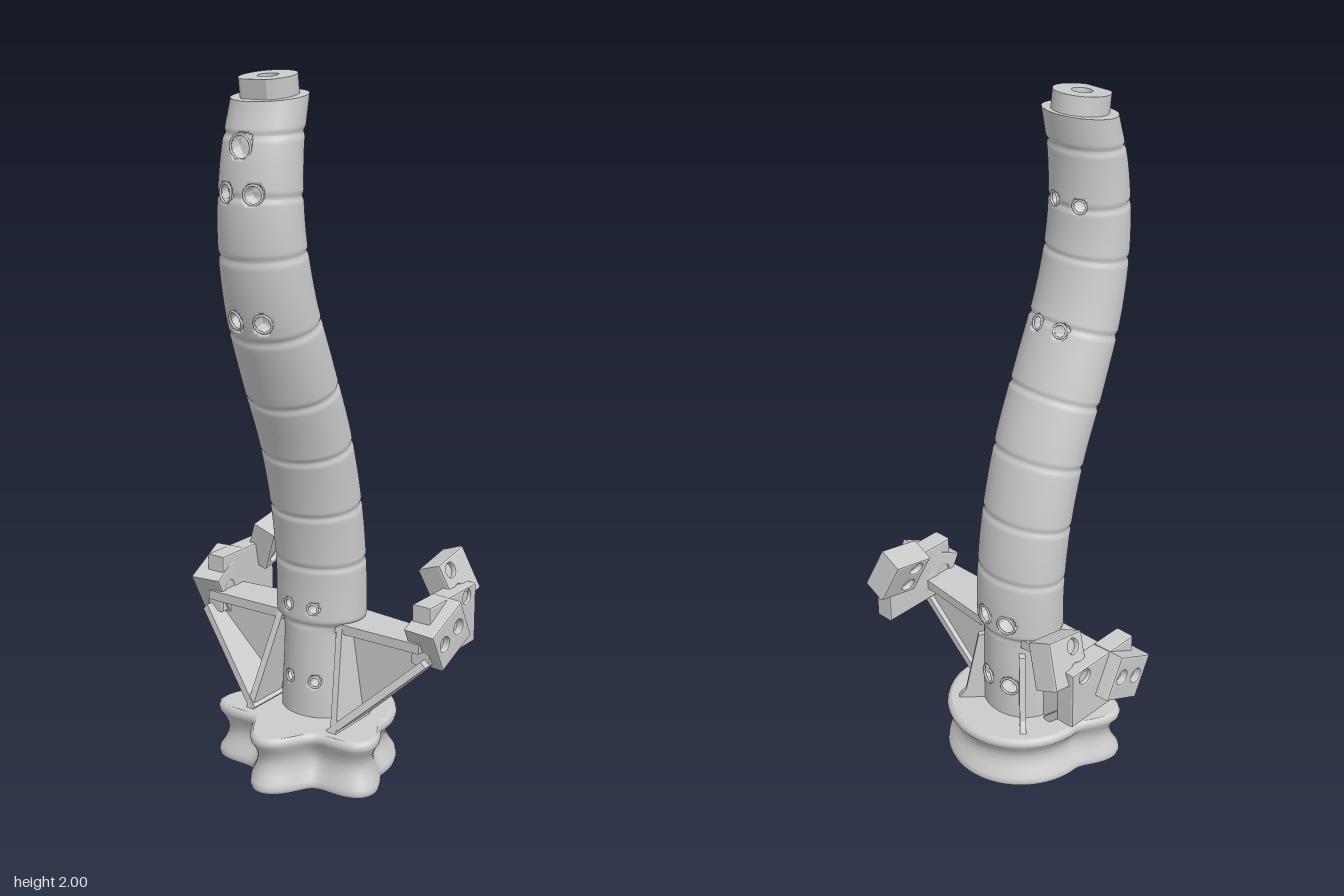
import * as THREE from 'three';

const mat = new THREE.MeshStandardMaterial({ color: 0xcccccc });
const thin = new THREE.MeshStandardMaterial({ color: 0xcccccc, side: THREE.DoubleSide });
const { lerp, smoothstep, degToRad } = THREE.MathUtils;

function add(parent, name, geometry, material = mat) {
  const mesh = new THREE.Mesh(geometry, material);
  mesh.name = name;
  parent.add(mesh);
  return mesh;
}

// Surface through closed rings of points, listed from bottom to top
function loft(rings) {
  const n = rings[0].length, index = [];
  for (let j = 0; j < rings.length - 1; j++) {
    for (let i = 0; i < n; i++) {
      const a = j * n + i, b = j * n + (i + 1) % n;
      index.push(a, a + n, b, b, a + n, b + n);
    }
  }
  const g = new THREE.BufferGeometry().setFromPoints(rings.flat());
  g.setIndex(index);
  g.computeVertexNormals();
  return g;
}

function circleHole(x, y, r) {
  return new THREE.Path().absarc(x, y, r, 0, Math.PI * 2, true);
}

// Plate running from a to b in the front plane, with its own z range at each end
function slab(a, b, zA, zB, thick) {
  const g = new THREE.BoxGeometry(1, 1, 1), p = g.attributes.position;
  const len = Math.hypot(b[0] - a[0], b[1] - a[1]);
  const nx = -(b[1] - a[1]) / len, ny = (b[0] - a[0]) / len;
  for (let i = 0; i < p.count; i++) {
    const t = p.getX(i) + 0.5, s = p.getY(i) * thick, w = p.getZ(i) + 0.5;
    p.setXYZ(i, lerp(a[0], b[0], t) + nx * s, lerp(a[1], b[1], t) + ny * s,
      lerp(lerp(zA[0], zB[0], t), lerp(zA[1], zB[1], t), w));
  }
  g.computeVertexNormals();
  return g;
}

// Side-facing block with recessed bolts
function block(parent, name, [w, h, d], holes, position, rotation) {
  const group = new THREE.Group();
  group.name = name;
  group.position.set(...position);
  group.rotation.set(...rotation);
  const x = w / 2 - 0.006, y = h / 2 - 0.006, bevel = 0.006;
  const s = new THREE.Shape([[-x, -y], [x, -y], [x, y], [-x, y]].map(q => new THREE.Vector2(...q)));
  holes.forEach(([hx, hy]) => s.holes.push(circleHole(hx, hy, 0.027)));
  const g = new THREE.ExtrudeGeometry(s, {
    depth: d - 2 * bevel, bevelEnabled: true, bevelSize: bevel, bevelThickness: bevel, bevelSegments: 2, curveSegments: 20,
  });
  g.translate(0, 0, bevel - d / 2).rotateY(Math.PI / 2);
  add(group, name + 'Body', g);
  for (const [hx, hy] of holes) {
    const bolt = new THREE.CylinderGeometry(0.027, 0.027, d * 0.6, 20).rotateZ(Math.PI / 2);
    add(group, 'recessedBolt', bolt.translate(0, hy, -hx));
  }
  parent.add(group);
}

// Scalloped base: round at the back, three lobes toward the front
const BASE_Z = -0.06;
function baseOutline(inset, count = 144) {
  const pts = [];
  for (let i = 0; i < count; i++) {
    const deg = i * 360 / count;
    const lobe = deg < 180 ? 0.5 + 0.5 * Math.cos(degToRad(6 * (deg - 30))) : 0;
    const r = 0.223 + 0.08 * lobe - inset, t = degToRad(deg);
    pts.push([r * Math.cos(t), r * Math.sin(t)]);
  }
  return pts;
}

function makeBase() {
  const base = new THREE.Group();
  base.name = 'base';
  const profile = [[0.012, 0], [0.003, 0.004], [0, 0.014], [0.003, 0.028], [0.017, 0.048], [0.027, 0.07], [0.03, 0.088],
    [0.027, 0.105], [0.017, 0.125], [0.003, 0.143], [0, 0.155], [0.004, 0.166], [0.014, 0.171]];
  const rings = profile.map(([inset, y]) => baseOutline(inset).map(([x, z]) => new THREE.Vector3(x, y, z)));
  add(base, 'baseRim', loft(rings));
  const shape = inset => new THREE.Shape(baseOutline(inset).map(([x, z]) => new THREE.Vector2(x, -z)));
  add(base, 'baseTop', new THREE.ShapeGeometry(shape(0.014)).rotateX(-Math.PI / 2).translate(0, 0.171, 0), thin);
  // Underside with a centre bore and eight blind holes
  const under = shape(0.012);
  const holes = [[0, 0, 0.058]];
  for (let i = 0; i < 8; i++) {
    const t = (i + 0.5) * Math.PI / 4;
    holes.push([0.155 * Math.cos(t), 0.155 * Math.sin(t), 0.03]);
  }
  for (const [x, z, r] of holes) {
    under.holes.push(circleHole(x, -z, r));
    add(base, 'holeWall', new THREE.CylinderGeometry(r, r, 0.12, 28, 1, true).translate(x, 0.06, z), thin);
    add(base, 'holeFloor', new THREE.CircleGeometry(r, 28).rotateX(Math.PI / 2).translate(x, 0.12, z));
  }
  add(base, 'baseUnderside', new THREE.ShapeGeometry(under).rotateX(-Math.PI / 2), thin);
  base.position.z = BASE_Z;
  return base;
}

// S-curved column with joint grooves and screw recesses
function makeColumn() {
  const column = new THREE.Group();
  column.name = 'column';
  const path = new THREE.CatmullRomCurve3([[0.15, -0.06], [0.4, -0.062], [0.6, -0.06], [0.8, -0.033], [1, 0.02], [1.2, 0.1],
    [1.4, 0.175], [1.6, 0.212], [1.8, 0.205], [1.94, 0.172]].map(([y, z]) => new THREE.Vector3(0, y, z)));
  path.arcLengthDivisions = 600;
  const grooves = [0.45, 0.635, 0.8, 0.98, 1.15, 1.34, 1.54, 1.69, 1.85];
  const holes = [{ x: 0, y: 1.82, side: 1, r: 0.032 }];
  for (const x of [-0.043, 0.043]) {
    for (const y of [1.36, 1.7]) holes.push({ x, y, side: 1, r: 0.025 }, { x, y, side: -1, r: 0.019 });
    for (const y of [0.28, 0.505]) holes.push({ x, y, side: 1, r: 0.016 }, { x, y, side: -1, r: 0.027 });
  }
  holes.forEach(h => { h.best = 1; });
  const rings = [], rows = 270, sides = 144;
  for (let j = 0; j <= rows; j++) {
    const u = j / rows, c = path.getPointAt(u), t = path.getTangentAt(u);
    const tilt = Math.max(Math.atan2(t.z, t.y), 0.13 * smoothstep(c.y, 1.75, 1.94));
    const front = new THREE.Vector3(0, -Math.sin(tilt), Math.cos(tilt));
    const dent = Math.max(0, ...grooves.map(g => 1 - Math.abs(c.y - g) / 0.012)) * 0.006;
    const taper = smoothstep(c.y, 1.1, 2.15), low = 1 - smoothstep(c.y, 0.43, 0.47);
    const rx = 0.139 - 0.036 * taper - 0.03 * low - dent + 0.01 * (1 - smoothstep(c.y, 0.17, 0.4));
    const rz = 0.11 - 0.018 * taper - 0.006 * low - dent;
    const ring = [];
    for (let i = 0; i < sides; i++) {
      const a = i / sides * Math.PI * 2, cos = Math.cos(a), sin = Math.sin(a);
      const p = c.clone().addScaledVector(front, rz * sin);
      p.x = rx * cos;
      let sink = 0;
      for (const h of holes) {
        if (sin * h.side < 0.3) continue;
        const d = Math.hypot(p.x - h.x, p.y - h.y);
        if (d < h.r) sink = h.side * 0.03;
        if (d < h.best) {
          h.best = d;
          h.point = p.clone();
          h.normal = front.clone().multiplyScalar(sin / rz).setX(cos / rx).normalize();
        }
      }
      ring.push(p.addScaledVector(front, -sink));
    }
    rings.push(ring);
  }
  add(column, 'columnSkin', loft(rings));
  for (const h of holes) {
    const lip = add(column, 'screwHoleLip', new THREE.TorusGeometry(h.r, 0.0035, 8, 28));
    lip.position.copy(h.point).addScaledVector(h.normal, -0.001);
    lip.quaternion.setFromUnitVectors(new THREE.Vector3(0, 0, 1), h.normal);
  }
  // Closed end with a flat-fronted, bored collar
  const end = new THREE.Group();
  end.name = 'topEnd';
  end.position.set(0, 1.94, 0.172);
  end.rotation.x = 0.13;
  const disc = add(end, 'endFace', new THREE.CircleGeometry(1, 72).rotateX(-Math.PI / 2));
  disc.scale.set(rings[rows][0].x, 1, 0.0935);
  const cut = 1.08;
  const collar = new THREE.Shape().absarc(0, 0, 0.077, -Math.PI / 2 + 0.55, Math.PI * 1.5 - 0.55);
  collar.holes.push(circleHole(0, 0, 0.028));
  const g = new THREE.ExtrudeGeometry(collar, { depth: 0.07 / cut, bevelEnabled: false, curveSegments: 40 });
  add(end, 'collar', g.rotateX(-Math.PI / 2).translate(0, -0.014, 0));
  add(end, 'boreFloor', new THREE.CircleGeometry(0.028, 24).rotateX(-Math.PI / 2).translate(0, 0.005, 0));
  column.add(end);
  return column;
}

// One braced side arm with its angled mounting blocks
function makeArm(name) {
  const arm = new THREE.Group();
  arm.name = name;
  add(arm, 'topFlange', slab([0.08, 0.447], [0.37, 0.447], [-0.145, 0.0], [-0.115, 0.0], 0.028));
  add(arm, 'diagonalStrut', slab([0.135, 0.17], [0.385, 0.405], [-0.1, 0.095], [-0.1, 0.0], 0.022));
  add(arm, 'innerFlange', slab([0.15, 0.165], [0.105, 0.45], [-0.08, 0.095], [-0.08, 0.0], 0.02));
  const web = new THREE.Shape([[0.08, 0.165], [0.14, 0.165], [0.38, 0.4], [0.38, 0.45], [0.08, 0.45]].map(q => new THREE.Vector2(...q)));
  add(arm, 'web', new THREE.ExtrudeGeometry(web, { depth: 0.035, bevelEnabled: false }).translate(0, 0, -0.085));
  block(arm, 'outerBlock', [0.15, 0.13, 0.1], [[-0.036, 0.003], [0.036, 0.003]], [0.38, 0.475, -0.083], [0.47, -0.06, 0]);
  block(arm, 'rearPlate', [0.25, 0.175, 0.06], [[0.075, 0.06]], [0.362, 0.478, -0.147], [0, 0, 0]);
  block(arm, 'upperBlock', [0.132, 0.135, 0.08], [[-0.025, 0.034], [-0.025, -0.034]], [0.317, 0.57, -0.248], [0.19, 0, 0.38]);
  return arm;
}

export function createModel() {
  const model = new THREE.Group();
  model.name = 'curvedStand';
  model.add(makeBase(), makeColumn());
  const left = makeArm('leftArm'), right = makeArm('rightArm');
  right.scale.x = -1;
  model.add(left, right);
  // Ribs bracing the back of the column on the base
  for (const s of [-1, 1]) {
    const rib = new THREE.Shape([[0.05, 0.16], [0.195, 0.16], [0.165, 0.2], [0.125, 0.4], [0.05, 0.42]].map(q => new THREE.Vector2(...q)));
    const g = new THREE.ExtrudeGeometry(rib, { depth: 0.018, bevelEnabled: false }).translate(0, 0, -0.009);
    const mesh = add(model, 'backRib', g);
    mesh.rotation.y = Math.PI / 2 - s * Math.PI / 4;
    mesh.position.z = BASE_Z;
  }
  return model;
}
